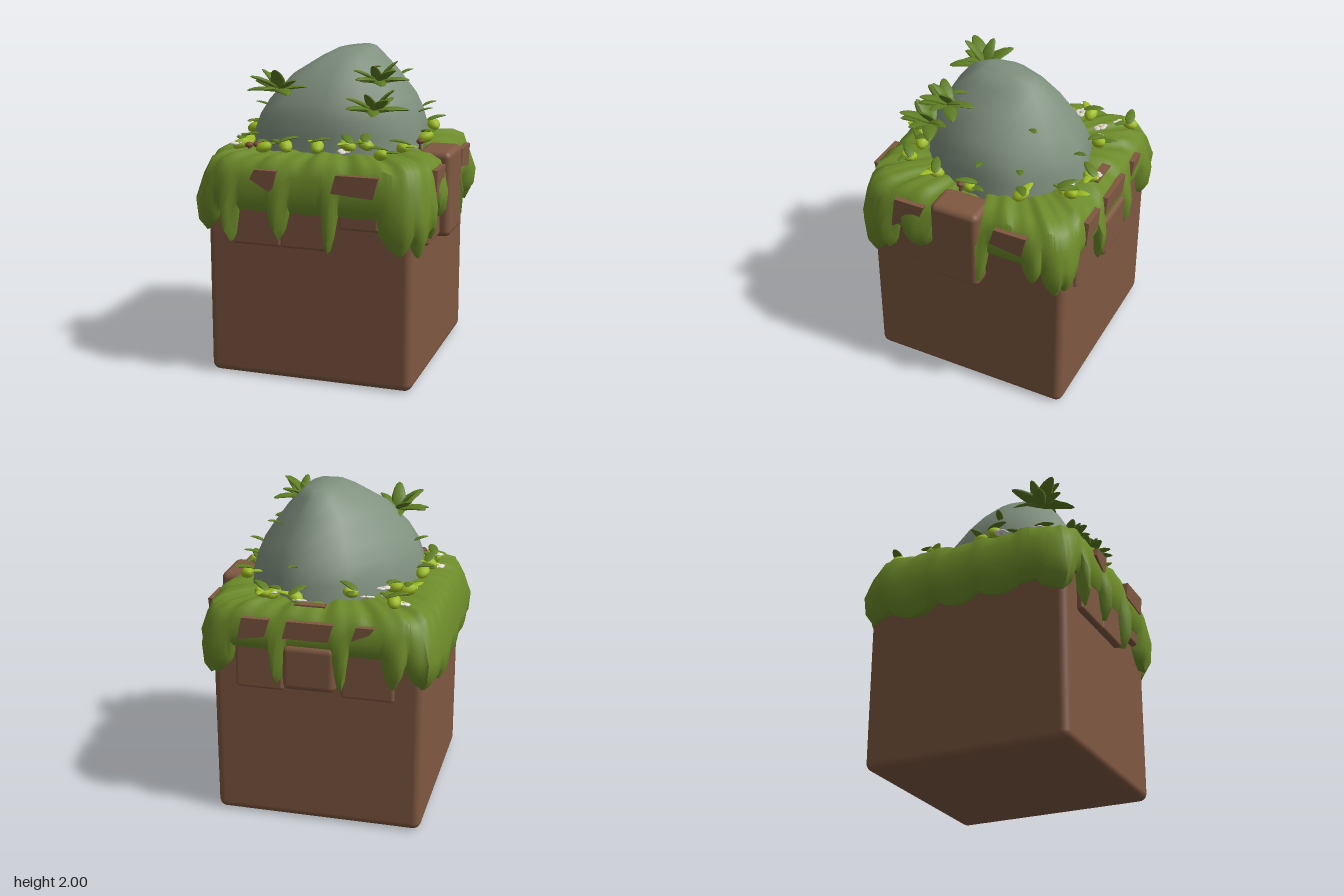
import * as THREE from 'three';
import { toCreasedNormals } from 'three/addons/utils/BufferGeometryUtils.js';
import { RoundedBoxGeometry } from 'three/addons/geometries/RoundedBoxGeometry.js';

const mat = (name, color) => {
  const m = new THREE.MeshStandardMaterial({ color });
  m.name = name;
  return m;
};

// Joins rings of points, listed top to bottom, into a closed skin
function loft(rings, crease) {
  const n = rings[0].length, pos = [], idx = [];
  rings.forEach((r) => r.forEach((p) => pos.push(...p)));
  for (let j = 0; j < rings.length - 1; j++) {
    for (let i = 0; i < n; i++) {
      const a = j * n + i, b = j * n + (i + 1) % n, c = a + n, d = b + n;
      idx.push(a, c, b, b, c, d);
    }
  }
  const g = new THREE.BufferGeometry();
  g.setAttribute('position', new THREE.Float32BufferAttribute(pos, 3));
  g.setIndex(idx);
  return toCreasedNormals(g, crease);
}

// Sides run front, left, back, right. Each drip is [along, half width, tip height]
const SIDES = [
  { hem: 1.08, bulge: .01, gap: false, drips: [[-.72, .1, .94], [-.5, .05, .87], [-.18, .06, .91], [.14, .05, .84], [.6, .15, .86]] },
  { hem: 1.12, bulge: .01, gap: true, drips: [[-.66, .15, .84], [-.5, .07, .93], [-.28, .1, 1.02], [.14, .05, .86], [.5, .06, 1], [.68, .12, .92]] },
  { hem: 1.14, bulge: .01, gap: false, drips: [[-.66, .14, .94], [-.22, .05, .92], [.17, .05, .9], [.5, .07, .95], [.7, .12, .96]] },
  { hem: 1, bulge: .05, gap: false, drips: [[-.7, .15, .95], [-.36, .14, .92], [-.05, .12, .94], [.25, .13, .95], [.68, .16, .92]] },
];

// Lowest height and outward bulge of the moss
function edgeAt({ hem, bulge, gap, drips }, s) {
  if (gap && s > -.17 && s < .12) return [1.34, 0];
  let low = hem, out = bulge;
  drips.forEach(([at, width, tip]) => {
    const f = Math.pow(Math.max(0, 1 - Math.abs(s - at) / width), .4);
    low = Math.min(low, hem + (tip - hem) * f);
    out = Math.max(out, (Math.abs(at) > .55 ? .035 : .05) * f);
  });
  return [low, out];
}

function mossGeometry() {
  const steps = 64, rings = Array.from({ length: 9 }, () => []);
  SIDES.forEach((sideEdge, side) => {
    const c = Math.cos(side * Math.PI / 2), n = Math.sin(side * Math.PI / 2);
    for (let i = 0; i < steps; i++) {
      const s = -.72 + 1.44 * i / steps, u = s / .72;
      const k = Math.pow(Math.pow(Math.abs(u), 8) + 1, -.125);
      const [low, out] = edgeAt(sideEdge, s);
      const lift = .01 * Math.sin(s * 19 + side * 2) + .006 * Math.sin(s * 41 + side) - (low > 1.25 ? .04 : 0);
      const hang = (f) => low + (1.35 - low) * f;
      const rows = [[.3, 1.4], [.5, 1.41 + lift], [.62, 1.4 + lift], [.685, 1.365 + lift],
        [.705 + out * .4, hang(.8)], [.715 + out, hang(.45)], [.71 + out * .9, hang(.16)],
        [.69 + out * .5, low], [.6, low + .03]];
      rows.forEach(([r, y], j) => {
        const x = u * k * r, z = k * r;
        rings[j].push([x * c + z * n, y, -x * n + z * c]);
      });
    }
  });
  return loft(rings, .9);
}

// Boulder: one outline (x, z), resized and shifted at each height (y, cx, cz, sx, sz)
const OUTLINE = [[-.33, .46], [0, .46], [.28, .43], [.45, .25], [.52, 0], [.49, -.3], [.28, -.47], [.12, -.56],
  [-.18, -.48], [-.38, -.22], [-.5, .02], [-.52, .12], [-.49, .3]];
const LEVELS = [[2, .09, -.04, 0, 0], [2, .09, -.04, .2, .34], [1.95, .065, -.03, .34, .47], [1.85, .035, -.01, .58, .67],
  [1.7, .02, -.02, .82, .85], [1.6, .01, -.03, .92, .94], [1.5, 0, -.05, .98, .98], [1.33, 0, -.05, 1, 1]];
const boulderGeometry = () => loft(LEVELS.map(([y, cx, cz, sx, sz]) =>
  OUTLINE.map(([x, z]) => [cx + x * sx, y, cz + (z + .05) * sz])), 1);

// Pointed leaf of length 1 growing along +z, arched in the middle
function leafGeometry() {
  const g = new THREE.SphereGeometry(1, 8, 6).rotateX(Math.PI / 2);
  const p = g.attributes.position;
  for (let i = 0; i < p.count; i++) {
    const t = (p.getZ(i) + 1) / 2;
    p.setXYZ(i, p.getX(i) * .24 * (1.15 - t * .5), p.getY(i) * .06 + .3 * t - .3 * t * t, t);
  }
  g.computeVertexNormals();
  return g;
}

export function createModel() {
  const root = new THREE.Group();
  const earth = mat('earth brown', 0x7f5841), moss = mat('moss green', 0x6c8a29), stone = mat('grey green stone', 0x80917f);
  const leafGreen = mat('leaf green', 0x5e7d23), lime = mat('lime bud', 0x9dbd22), white = mat('petal white', 0xe6e4dc);
  const yellow = mat('flower centre', 0xc9a53a), toadstool = mat('toadstool brown', 0x7a4836);

  const add = (name, geo, m, parent = root) => {
    const mesh = new THREE.Mesh(geo, m);
    mesh.name = name;
    parent.add(mesh);
    return mesh;
  };
  const addGroup = (name) => {
    const group = new THREE.Group();
    group.name = name;
    root.add(group);
    return group;
  };

  // Earth block, moss and boulder
  add('earthBlock', new RoundedBoxGeometry(1.305, 1.32, 1.32, 3, .05), earth).position.set(-.012, .66, -.01);
  add('mossCap', mossGeometry(), moss);
  add('boulder', boulderGeometry(), stone);

  // Clay slabs: [centre along side, width, bottom, top, outer face]
  const slabs = [
    [[-.33, .32, .86, 1.31, .69], [-.02, .31, .86, 1.31, .695], [.32, .25, 1, 1.31, .69]],
    [[-.31, .29, .88, 1.31, .69], [-.01, .32, .86, 1.4, .75], [.35, .27, 1.02, 1.31, .69]],
    [[-.34, .3, .87, 1.31, .69], [-.02, .33, .9, 1.19, .74], [.33, .33, .86, 1.31, .69]],
  ];
  // Bare places in the moss: [start, end, bottom, slant of the bottom]
  const bare = [
    [[-.35, -.18, 1.28, -.08], [.16, .45, 1.23, -.02]],
    [[-.45, -.22, 1.13, .13], [.22, .46, 1.23, -.03]],
    [[-.46, -.26, 1.2, .03], [-.18, .13, 1.23, 0], [.24, .38, 1.25, .05]],
  ];
  slabs.forEach((list, side) => {
    const group = addGroup(['frontSlabs', 'leftSlabs', 'backSlabs'][side]);
    group.rotation.y = side * Math.PI / 2;
    list.forEach(([x, w, lo, hi, face]) => {
      const big = face > .72, depth = big ? .22 : .14;
      add('slab', new RoundedBoxGeometry(w, hi - lo, depth, 3, big ? .04 : .02), earth, group)
        .position.set(x, (lo + hi) / 2, face - depth / 2);
    });
    bare[side].forEach(([from, to, y, slant]) => {
      const shape = new THREE.Shape().moveTo(from, y).lineTo(to - .03, y + slant).lineTo(to, 1.34).lineTo(from + .03, 1.34);
      add('barePatch', new THREE.ExtrudeGeometry(shape, { depth: .105, bevelEnabled: false }), earth, group).position.z = .625;
    });
  });
  add('topBarePatch', new THREE.BoxGeometry(.19, .009, .055), earth).position.set(.03, 1.42, -.625);

  // Leaf tufts fanning out from the boulder: [x, y, z, leaf length]
  const leaf = leafGeometry();
  const addLeaf = (parent, m, x, y, z, yaw, pitch, size) => {
    const l = add('leaf', leaf, m, parent);
    l.position.set(x, y, z);
    l.rotation.set(-pitch, yaw, 0, 'YXZ');
    l.scale.setScalar(size);
  };
  [[-.3, 1.75, .33, .21], [.31, 1.82, .26, .19], [.32, 1.66, .38, .2]].forEach(([x, y, z, size]) => {
    const tuft = addGroup('leafTuft');
    for (let i = 0; i < 11; i++) {
      const yaw = Math.atan2(x, z) + (i / 10 - .5) * 4.4;
      addLeaf(tuft, leafGreen, x, y, z, yaw, [.05, .5, .2, .85][i % 4], size * (.85 + (i % 3) * .12));
    }
  });

  // Single leaves on the boulder, pointing outwards
  [[-.44, 1.62, .12], [.48, 1.6, -.05], [.45, 1.6, -.28], [.24, 1.89, .17], [.3, 1.8, -.28], [.15, 1.6, -.5]]
    .forEach(([x, y, z]) => addLeaf(root, leafGreen, x, y, z, Math.atan2(x, z), .3, .1));

  // Bud plants round the foot of the boulder and a few further out: lime pod with leaves over it
  const pod = new THREE.SphereGeometry(1, 10, 6);
  const foot = OUTLINE.map(([x, z]) => [x * 1.05, z * 1.08]);
  [...foot, [-.5, -.33], [-.47, -.61], [-.52, .43], [-.19, .53], [.2, .52], [.4, .5], [.34, -.57]].forEach(([x, z], i) => {
    const plant = addGroup('budPlant');
    plant.position.set(x, 1.43 + (i % 3) * .025, z);
    plant.rotation.y = i * 1.7;
    const p = add('pod', pod, lime, plant);
    p.scale.set(.056, .034, .042);
    p.rotation.z = .4;
    addLeaf(plant, leafGreen, 0, .022, -.05, 0, .2, .14);
    addLeaf(plant, i % 2 ? lime : leafGreen, 0, 0, 0, 2.3, .2, .12);
  });

  // White flowers
  [[-.51, -.53], [-.4, -.44], [-.28, -.47], [-.5, -.26], [-.34, -.29], [-.59, .2], [-.54, .44], [.17, .48],
    [.1, -.62], [.27, -.52]].forEach(([x, z], i) => {
    const flower = addGroup('flower');
    flower.position.set(x, 1.44, z);
    flower.rotation.set(.2, i, .15);
    for (let k = 0; k < 5; k++) {
      const a = k * Math.PI * .4, petal = add('petal', pod, white, flower);
      petal.position.set(Math.cos(a) * .026, 0, Math.sin(a) * .026);
      petal.scale.set(.022, .008, .022);
    }
    add('flowerCentre', pod, yellow, flower).scale.set(.008, .012, .008);
  });

  // Tiny toadstools
  [[-.44, .5], [-.4, .47], [.53, .07]].forEach(([x, z]) => {
    add('toadstoolStem', new THREE.CylinderGeometry(.008, .01, .05, 8), toadstool).position.set(x, 1.415, z);
    const cap = add('toadstoolCap', pod, toadstool);
    cap.position.set(x, 1.44, z);
    cap.scale.set(.026, .018, .026);
  });
  return root;
}
